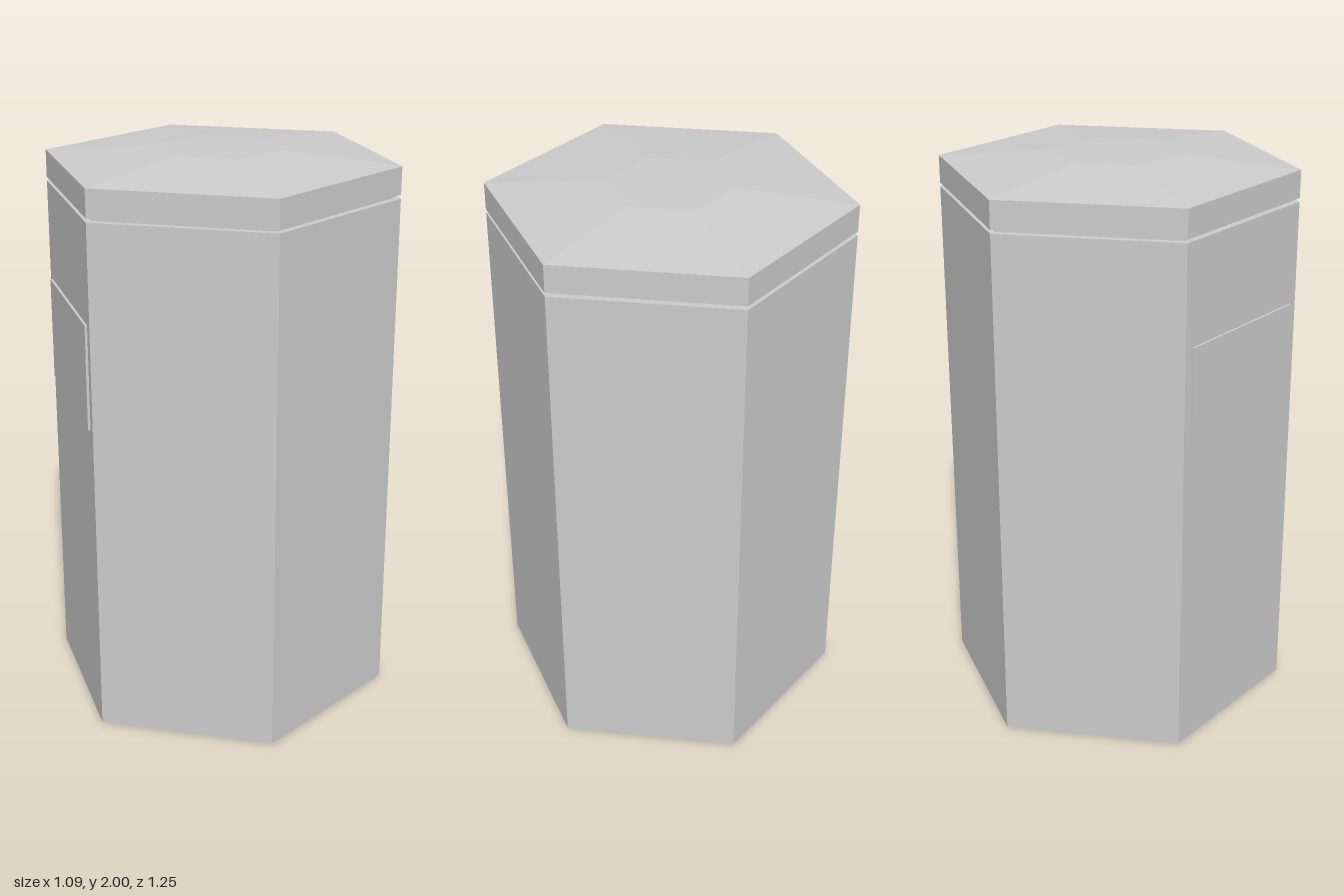
import * as THREE from 'three';

export function createModel() {
  const model = new THREE.Group();
  model.name = 'hexagonalBin';
  const grey = new THREE.MeshStandardMaterial({ color: 0xcccccc, flatShading: true });
  grey.name = 'light grey';

  const centreX = 0.003; // the panel on one side shifts the prism slightly
  const radius = 0.626;

  // Six-sided prism or frustum with corners towards front and back
  function hexPart(name, bottomRadius, topRadius, y0, y1) {
    const geometry = new THREE.CylinderGeometry(topRadius, bottomRadius, y1 - y0, 6);
    const mesh = new THREE.Mesh(geometry, grey);
    mesh.name = name;
    mesh.position.set(centreX, (y0 + y1) / 2, 0);
    model.add(mesh);
  }

  hexPart('body', radius, radius, 0, 1.853);
  hexPart('neck', 0.598, 0.598, 1.853, 1.866);
  hexPart('lidRim', radius, radius, 1.866, 1.963);
  hexPart('lidTop', radius, 0.22, 1.963, 2);

  // Thin raised panel on the right-hand face
  const panel = new THREE.Mesh(new THREE.BoxGeometry(0.009, 0.37, 0.56), grey);
  panel.name = 'sidePanel';
  panel.position.set(-0.5435, 1.315, 0);
  model.add(panel);

  return model;
}
